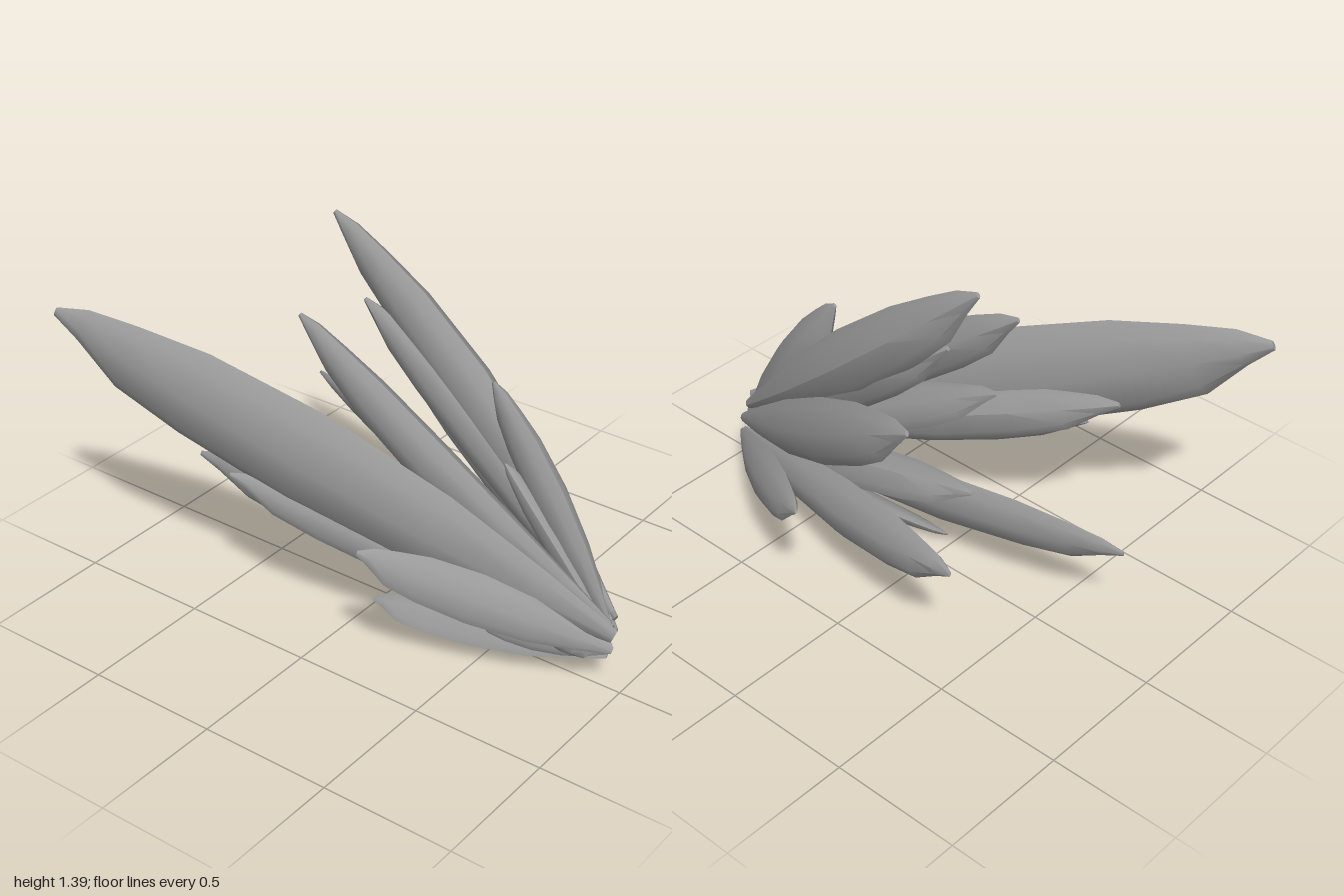
import * as THREE from 'three';
import { toCreasedNormals } from 'three/addons/utils/BufferGeometryUtils.js';

const material = new THREE.MeshStandardMaterial({ color: 0x999999 });

// [position along blade, upper edge, lower edge], as fractions of the half width
const PROFILE = [
  [0, 0.15, 0.15], [0.14, 0.48, 0.5], [0.32, 0.82, 0.84], [0.55, 1, 1],
  [0.75, 0.88, 0.93], [0.87, 0.62, 0.76], [0.95, 0.4, 0.3], [1, 0.1, 0.08],
];
const SIDES = 8;

// Pointed blade fanning out from the root; lean tilts its width toward z, bend bows it in z
function blade([x, y, z], width, thick, lean, bend = -0.015) {
  const tip = new THREE.Vector3(x, y, z);
  const base = new THREE.Vector3(0.92 + 0.1 * Math.max(0, z), 0.1 + 0.12 * y, 0.1 * z - 0.03);
  const dir = tip.clone().sub(base).normalize();
  const w = new THREE.Vector3(0, 1, lean);
  w.addScaledVector(dir, -w.dot(dir)).normalize();
  const n = dir.clone().cross(w);
  const pos = [], index = [];
  for (const [t, up, low] of PROFILE) {
    const c = base.clone().lerp(tip, t);
    const bow = Math.sin(Math.PI * t);
    c.y -= 0.015 * bow;
    c.z += bend * bow;
    for (let j = 0; j < SIDES; j++) {
      // Lens section: sharp at both edges, fuller on one face
      const angle = j / SIDES * Math.PI * 2;
      const u = Math.cos(angle), s = Math.sin(angle);
      const v = s * Math.abs(s) ** 0.4 * (s > 0 ? 1 : 0.8);
      const p = c.clone()
        .addScaledVector(w, u * (u > 0 ? up : low) * width / 2)
        .addScaledVector(n, v * up * thick / 2);
      pos.push(p.x, p.y, p.z);
    }
  }
  const last = (PROFILE.length - 1) * SIDES;
  for (let j = 0; j < SIDES; j++) {
    const k = (j + 1) % SIDES;
    for (let r = 0; r < last; r += SIDES) {
      index.push(r + j, r + k, r + SIDES + k, r + j, r + SIDES + k, r + SIDES + j);
    }
    if (j > 0 && k > 0) index.push(0, k, j, last, last + j, last + k);
  }
  const g = new THREE.BufferGeometry();
  g.setAttribute('position', new THREE.Float32BufferAttribute(pos, 3));
  g.setIndex(index);
  return toCreasedNormals(g, 0.7);
}

// Lumpy hub where the blades meet
function hubGeometry() {
  const g = new THREE.IcosahedronGeometry(1, 2);
  const p = g.attributes.position, v = new THREE.Vector3();
  for (let i = 0; i < p.count; i++) {
    v.fromBufferAttribute(p, i);
    v.multiplyScalar(1 + 0.1 * Math.sin(5 * v.y + 2 * v.x) * Math.cos(5 * v.z));
    p.setXYZ(i, v.x * 0.13, v.y * 0.085, v.z * 0.1);
  }
  return toCreasedNormals(g, 0.7);
}

export function createModel() {
  const group = new THREE.Group();
  const add = (name, geometry) => {
    const mesh = new THREE.Mesh(geometry, material);
    mesh.name = name;
    group.add(mesh);
    return mesh;
  };

  // Main blades: tip, width, thickness, lean, bend
  add('largeFrontBlade', blade([-0.99, 1.085, 0.595], 0.4, 0.2, 0));
  add('tallBlade', blade([-0.35, 1.365, -0.165], 0.24, 0.17, 0, -0.06));
  add('upperFrontBlade', blade([-0.28, 1.1, 0.125], 0.21, 0.15, 0.1, 0.05));
  add('shortUpperBlade', blade([0.39, 0.965, -0.08], 0.18, 0.13, 0.1, -0.01));
  add('upperBackBlade', blade([-0.34, 0.99, -0.49], 0.24, 0.15, 0.2));
  add('shortBackBlade', blade([0.08, 0.51, -0.6], 0.18, 0.1, 0.5));
  add('shortFrontBlade', blade([0.25, 0.525, 0.5], 0.18, 0.09, -0.5));
  add('longLowerBlade', blade([-0.78, 0.365, 0.12], 0.23, 0.11, -0.1));
  add('lowerBackBlade', blade([-0.49, 0.465, -0.45], 0.22, 0.13, 0.25));
  add('lowerFrontBlade', blade([-0.37, 0.565, 0.42], 0.18, 0.11, -0.35));
  add('bottomBlade', blade([0.015, 0.025, 0.1], 0.17, 0.075, -1.5));

  // Side blades tucked against the main ones
  add('largeFrontSideBlade', blade([-0.57, 0.78, 0.33], 0.2, 0.14, 0.3));
  add('tallSideBlade', blade([-0.2, 1.08, -0.14], 0.19, 0.14, 0, -0.04));
  add('upperBackSideBlade', blade([-0.15, 0.77, -0.31], 0.17, 0.12, 0.6));

  // Smaller blades filling the cluster
  add('innerUpperBlade', blade([-0.27, 0.84, 0.03], 0.18, 0.11, 0.5));
  add('innerFrontBlade', blade([0.1, 0.57, 0.19], 0.16, 0.1, 0));
  add('innerMiddleBlade', blade([-0.28, 0.49, -0.1], 0.17, 0.12, 1));
  add('frontBaseBlade', blade([0.5, 0.2, 0.17], 0.13, 0.08, -0.4));
  add('backBaseBlade', blade([0.48, 0.26, -0.2], 0.14, 0.09, 0.4));
  add('lowerBaseBlade', blade([0.3, 0.14, -0.08], 0.14, 0.07, 2));
  add('upperBaseBlade', blade([0.48, 0.7, -0.03], 0.13, 0.1, 0.8));

  add('hub', hubGeometry()).position.set(0.8, 0.165, -0.01);
  return group;
}
